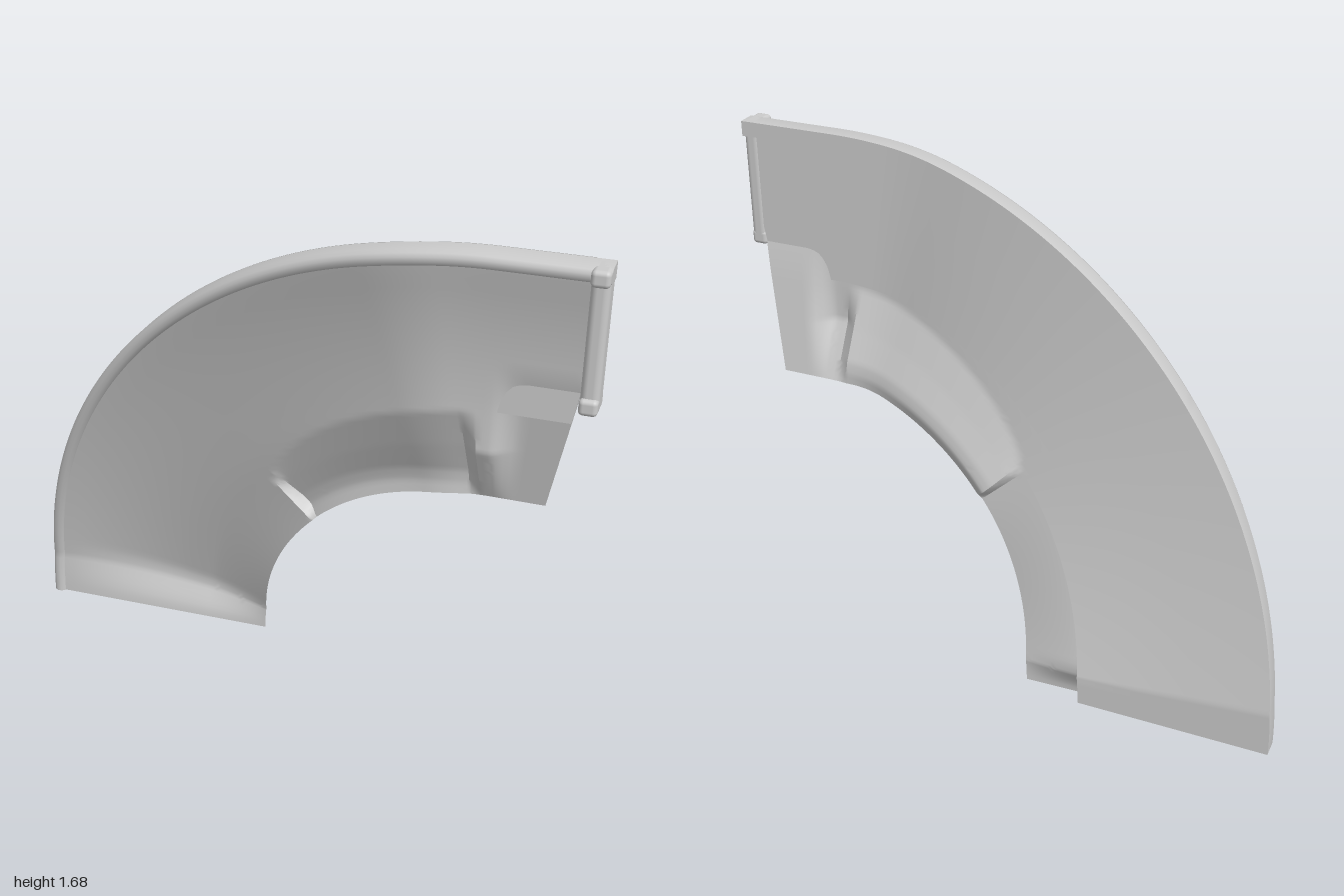
import * as THREE from 'three';
import { toCreasedNormals } from 'three/addons/utils/BufferGeometryUtils.js';
import { RoundedBoxGeometry } from 'three/addons/geometries/RoundedBoxGeometry.js';

const CX = 0.68, R_IN = 0.84, R_OUT = 1.68, R_RIM = 1.63;
const { lerp, clamp, smoothstep } = THREE.MathUtils;
const clamp01 = (v) => clamp(v, 0, 1);

// Stations along the bend: 0..90 are degrees, 90..100 is the straight run-out
const stations = [5.5, 43.5, 44.5, 85.5, 86.5, 87.5, 90.5, 91.5];
for (let u = 0; u <= 100; u += 1) stations.push(u);
stations.sort((a, b) => a - b);

// Position on the bend at station u and radius r
function place(u, r, z, runOut) {
  const a = THREE.MathUtils.degToRad(Math.min(u, 90));
  const e = Math.max(0, (u - 90) / 10);
  return [CX - r * Math.cos(a) + e * runOut, r * Math.sin(a), z];
}

// The straight end is cut back towards the inner edge
const cutEnd = (r) => lerp(0.17, 0.265, clamp01((r - R_IN) / 0.47));

// Height of the climb: level, steady slope, then easing to level
function climb(u) {
  const slope = 0.39 / 74.5;
  const steady = clamp(u, 5.5, 76) - 5.5;
  const ease = clamp(u - 76, 0, 8);
  return -0.25 + slope * (steady + ease - ease * ease / 16);
}

// Linear interpolation through [radius, value] pairs with falling radius
function profile(points, r) {
  for (let i = 1; i < points.length; i++) {
    const [r0, v0] = points[i - 1], [r1, v1] = points[i];
    if (r >= r1) return lerp(v0, v1, clamp01((r0 - r) / (r0 - r1)));
  }
  return points[points.length - 1][1];
}

// Raised lip, sunken channel, ridge and end hollow near the inner edge
function relief(u, r) {
  if (u <= 43) {
    return 0.045 * Math.pow(clamp01((1.06 - r) / 0.22), 1.4) * (1 - Math.pow(u / 43, 2));
  }
  const k = clamp01((u - 44.5) / 41);
  const top = lerp(1.04, 1.16, Math.sqrt(k));
  const deep = lerp(0.045, 0.092, k);
  const channel = profile([[top, 0], [lerp(0.99, 1.03, k), -deep * 0.5], [0.92, -deep * 0.95],
    [0.88, -deep], [R_IN, -lerp(0.012, 0.09, k)]], r);
  const ridge = profile([[1.03, 0], [R_IN, -0.09]], r);
  const hollow = profile([[1.31, 0], [R_IN, -0.09]], r);
  if (u < 85.5) return channel * clamp01((u - 43) / 1.5);
  if (u < 90) return lerp(channel, ridge, clamp01((u - 85.5) / 2.5));
  return lerp(ridge, hollow, smoothstep(u, 90, 94));
}

// Dished upper side: straight across at the low end, then sweeping up to the rim
function dish(u, r) {
  const across = lerp(0.045, 0.07, (r - R_IN) / (R_RIM - R_IN));
  const bowl = 0.07 * Math.pow(clamp01((r - 1.15) / (R_RIM - 1.15)), 2);
  return lerp(across, bowl + relief(u, r), smoothstep(u, 0, 8));
}

// Surface through rows of points
function loft(rows, crease) {
  const n = rows[0].length, index = [];
  for (let i = 0; i < rows.length - 1; i++) {
    for (let j = 0; j < n - 1; j++) {
      const a = i * n + j, b = a + n;
      index.push(a, b, a + 1, b, b + 1, a + 1);
    }
  }
  const g = new THREE.BufferGeometry();
  g.setAttribute('position', new THREE.Float32BufferAttribute(rows.flat(2), 3));
  g.setIndex(index);
  return toCreasedNormals(g, crease);
}

export function createModel() {
  const group = new THREE.Group();
  const material = new THREE.MeshStandardMaterial({ color: 0xcccccc, side: THREE.DoubleSide });
  const add = (name, geometry, x = 0, y = 0, z = 0) => {
    const mesh = new THREE.Mesh(geometry, material);
    mesh.name = name;
    mesh.position.set(x, y, z);
    group.add(mesh);
  };

  // Dished floor
  const radii = [];
  for (let i = 0; i <= 30; i++) radii.push(lerp(R_IN, 1.2, i / 30));
  for (let i = 1; i <= 12; i++) radii.push(lerp(1.2, 1.635, i / 12));
  add('floor', loft(stations.map((u) => radii.map((r) =>
    place(u, r, climb(u) + dish(u, r), cutEnd(r)))), 0.6));

  // Plain back plate behind the dish
  add('backPlate', loft(stations.map((u) => [0, 0.3, 0.6, 1].map((t) => {
    const r = lerp(u < 43 ? 1.04 : 1.17, R_OUT, t);
    return place(u, r, climb(u) - 0.003, cutEnd(r));
  })), 0.6));

  // Rounded rim along the outer edge
  const section = [[R_RIM, 0], [R_RIM, 0.06], [1.637, 0.076], [1.648, 0.083], [1.662, 0.083],
    [1.673, 0.076], [R_OUT, 0.06], [R_OUT, 0], [R_RIM, 0]];
  const rimRow = (u) => section.map(([r, h]) => place(u, r, climb(u) + h, 0.32));
  add('outerRim', loft(stations.map(rimRow), 0.7));

  // Flat caps closing the rim
  [['rimStartCap', 0], ['rimEndCap', 100]].forEach(([name, u]) => {
    const centre = place(u, 1.655, climb(u) + 0.04, 0.32);
    add(name, loft([section.map(() => centre), rimRow(u)], 0.1));
  });

  // Upright end stop with a small knob at each end
  add('endPost', new RoundedBoxGeometry(0.055, 0.42, 0.085, 4, 0.02), 0.9725, 1.465, 0.1875);
  [1.275, 1.655].forEach((y) =>
    add('endKnob', new RoundedBoxGeometry(0.055, 0.05, 0.1, 4, 0.014), 0.9725, y, 0.195));

  return group;
}
